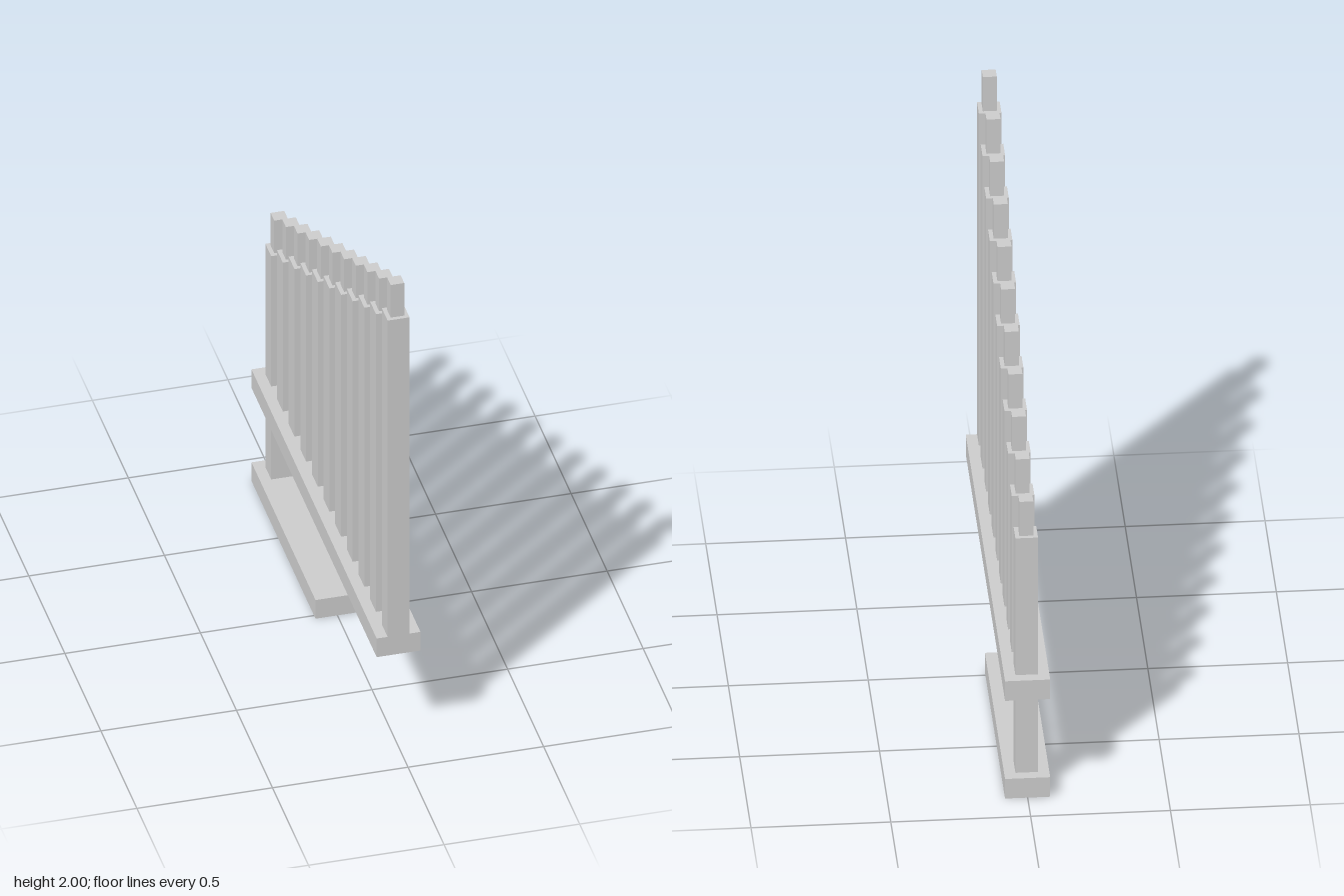
import * as THREE from 'three';

// Base unit: the thickness of every bar
const U = 2 / 24.75;

export function createModel() {
  const group = new THREE.Group();
  const material = new THREE.MeshStandardMaterial({ color: 0xcccccc, flatShading: true });

  // Box given by its bottom, height and z centre, all in base units
  function addBar(name, width, height, depth, bottom, z) {
    const mesh = new THREE.Mesh(new THREE.BoxGeometry(width * U, height * U, depth * U), material);
    mesh.name = name;
    mesh.position.set(0, (bottom + height / 2) * U, z * U);
    group.add(mesh);
  }

  // Stand: foot, post at the back and long rail
  addBar('foot', 2, 1, 11, 0, -5.25);
  addBar('post', 1, 4, 1, 1, -9.75);
  addBar('rail', 2, 1, 21.5, 5, 0);

  // Row of candles, rising towards the front, each with a thinner tip
  for (let i = 0; i < 11; i++) {
    const height = 7 + i;
    const z = -9.75 + 2 * i;
    addBar('candle', 1, height, 1, 6, z);
    addBar('candleTip', 0.62, 1.75, 0.62, 6 + height, z);
  }

  return group;
}
